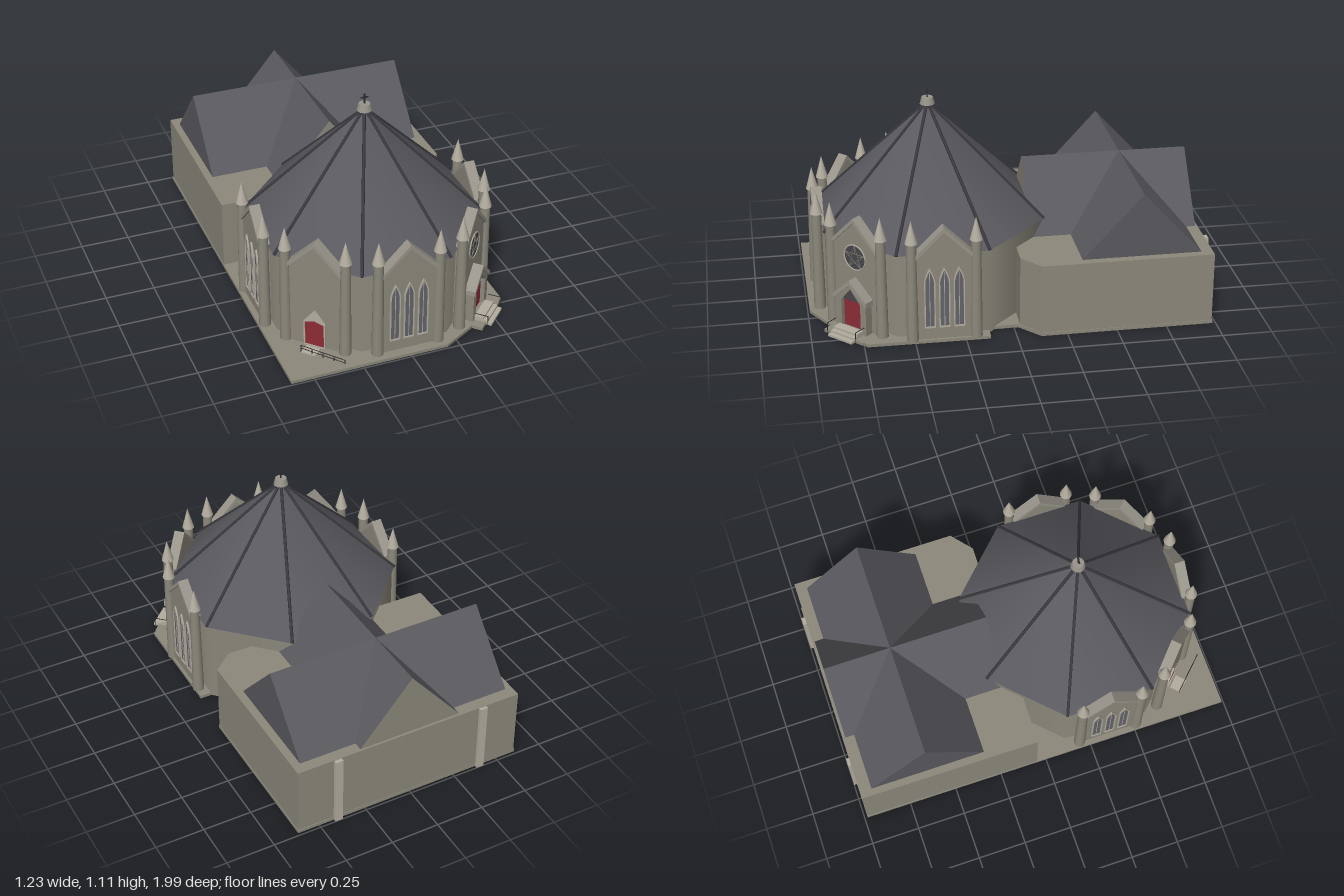
import * as THREE from 'three';

const mat = (name, color) => {
  const m = new THREE.MeshStandardMaterial({ color });
  m.name = name;
  return m;
};

export function createModel() {
  const stone = mat('stone', 0x8c887b);
  const paleStone = mat('pale stone', 0xb3ad9f);
  const coping = mat('coping stone', 0x98948a);
  const slate = mat('slate', 0x5a595f);
  const rib = mat('rib lead', 0x3a393f);
  const glass = mat('glass', 0x63636c);
  const darkGlass = mat('dark glass', 0x46464b);
  const red = mat('door red', 0x8c2c36);
  const iron = mat('iron', 0x2b2b2d);

  const model = new THREE.Group();
  model.name = 'chapel';

  const add = (parent, name, geo, material, x = 0, y = 0, z = 0) => {
    const m = new THREE.Mesh(geo, material);
    m.name = name;
    m.position.set(x, y, z);
    parent.add(m);
    return m;
  };
  const box = (parent, name, material, w, h, d, x, y, z) =>
    add(parent, name, new THREE.BoxGeometry(w, h, d), material, x, y, z);
  const poly = (pts) => new THREE.Shape(pts.map(([x, y]) => new THREE.Vector2(x, y)));
  const extrude = (shape, depth) =>
    new THREE.ExtrudeGeometry(shape, { depth, bevelEnabled: false, curveSegments: 6 });
  // Plan outline given as [x, z], raised from y0 by h
  const slab = (parent, name, material, pts, h) =>
    add(parent, name, extrude(poly(pts.map(([x, z]) => [x, -z])), h).rotateX(-Math.PI / 2), material);
  // Round bar between two points
  const bar = (parent, name, material, a, b, r, sides = 6) => {
    const p = new THREE.Vector3(...a), q = new THREE.Vector3(...b);
    const d = q.clone().sub(p);
    const m = add(parent, name, new THREE.CylinderGeometry(r, r, d.length(), sides), material);
    m.position.copy(p).add(q).multiplyScalar(0.5);
    m.quaternion.setFromUnitVectors(new THREE.Vector3(0, 1, 0), d.normalize());
    return m;
  };
  // Pentagon with a pointed top
  const house = (w, y0, eave, peak) => poly([[-w, y0], [w, y0], [w, eave], [0, peak], [-w, eave]]);
  // Inverted V band
  const chevron = (w, eave, peak, t) =>
    poly([[-w, eave], [-w, eave - t], [0, peak - t], [w, eave - t], [w, eave], [0, peak]]);
  const lancet = (w, y0, spring, peak) => {
    const s = new THREE.Shape();
    s.moveTo(-w, y0);
    s.lineTo(w, y0);
    s.lineTo(w, spring);
    s.quadraticCurveTo(w * 0.8, (spring + peak) / 2, 0, peak);
    s.quadraticCurveTo(-w * 0.8, (spring + peak) / 2, -w, spring);
    return s;
  };

  // Ground plinth
  slab(model, 'plinth', stone, [
    [-0.615, 0.99], [0.19, 0.99], [0.35, 0.9], [0.595, 0.735], [0.6, 0.13], [0.505, 0.13],
    [0.505, -0.02], [0.615, -0.12], [0.615, -0.985], [-0.61, -0.985]], 0.016);

  // Rear block with one chamfered corner
  slab(model, 'rear block', stone, [
    [-0.61, -0.05], [0.505, -0.03], [0.612, -0.12], [0.612, -0.98], [-0.605, -0.985]], 0.378);
  for (const s of [-1, 1]) box(model, 'rear pilaster', paleStone, 0.04, 0.376, 0.02, s * 0.4, 0.188, -0.99);

  // Crossed gable roofs
  const roofY = 0.376, ridge = 0.705;
  add(model, 'rear roof', extrude(poly([[0.325, roofY], [0.925, roofY], [0.625, ridge]]), 1.14)
    .rotateY(Math.PI / 2), slate, -0.57);
  add(model, 'rear cross roof', extrude(poly([[-0.275, roofY], [0.275, roofY], [0, ridge]]), 0.85),
    [stone, slate], 0, 0, -0.97);

  // Octagonal hall
  const hall = new THREE.Group();
  hall.name = 'hall';
  hall.position.z = 0.355;
  model.add(hall);
  const corner = 1 / Math.cos(Math.PI / 8);
  add(hall, 'hall wall', new THREE.CylinderGeometry(0.54 * corner, 0.54 * corner, 0.455, 8, 1, true)
    .rotateY(Math.PI / 8), stone, 0, 0.2275);
  add(hall, 'hall roof', new THREE.ConeGeometry(0.552 * corner, 0.575, 8).rotateY(Math.PI / 8),
    slate, 0, 0.7425);
  for (let i = 0; i < 8; i++) {
    const a = (i + 0.5) * Math.PI / 4, r = 0.552 * corner;
    bar(hall, 'roof rib', rib, [Math.sin(a) * r, 0.457, Math.cos(a) * r], [0, 1.03, 0], 0.008);
  }
  // Finial and cross
  add(hall, 'finial', new THREE.CylinderGeometry(0.029, 0.038, 0.035, 12), coping, 0, 1.038);
  box(hall, 'cross upright', iron, 0.006, 0.055, 0.006, 0, 1.08, 0);
  box(hall, 'cross arm', iron, 0.038, 0.006, 0.006, 0, 1.088, 0);

  // Three lancet windows
  const face = 0.585;
  const lancets = (bay) => {
    for (const x of [-0.072, 0, 0.072]) {
      const frame = lancet(0.027, 0.078, 0.325, 0.4);
      frame.holes.push(lancet(0.021, 0.085, 0.323, 0.385));
      add(bay, 'window frame', extrude(frame, 0.008), paleStone, x, 0, face);
      add(bay, 'window glass', extrude(lancet(0.022, 0.084, 0.324, 0.387), 0.003), glass, x, 0, face);
      box(bay, 'window mullion', paleStone, 0.003, 0.29, 0.003, x, 0.23, face + 0.004);
    }
  };

  // Main entrance: rose window, gabled porch, steps and rails
  const entrance = (bay) => {
    add(bay, 'rose glass', new THREE.CircleGeometry(0.065, 28), darkGlass, 0, 0.4, face + 0.002);
    add(bay, 'rose rim', new THREE.TorusGeometry(0.066, 0.004, 6, 28), paleStone, 0, 0.4, face + 0.002);
    const pt = (k, r) => [Math.sin(k * Math.PI / 5) * r, 0.4 + Math.cos(k * Math.PI / 5) * r, face + 0.003];
    for (let k = 0; k < 10; k += 2) {
      bar(bay, 'rose tracery', stone, pt(k, 0.065), pt(k + 4, 0.065), 0.0015, 4);
      bar(bay, 'rose spoke', stone, pt(k, 0.025), pt(k, 0.065), 0.0015, 4);
    }
    const porch = house(0.095, 0.016, 0.195, 0.275);
    porch.holes.push(house(0.06, 0.03, 0.175, 0.245));
    add(bay, 'porch', extrude(porch, 0.055), stone, 0, 0, 0.575);
    add(bay, 'porch coping', extrude(chevron(0.105, 0.2, 0.295, 0.026), 0.065), coping, 0, 0, 0.575);
    box(bay, 'door', red, 0.12, 0.14, 0.006, 0, 0.1, 0.605);
    add(bay, 'door fanlight', extrude(poly([[-0.06, 0.17], [0.06, 0.17], [0.06, 0.178], [0, 0.246], [-0.06, 0.178]]), 0.006),
      darkGlass, 0, 0, 0.602);
    box(bay, 'landing', stone, 0.25, 0.016, 0.11, 0, 0.008, 0.635);
    for (let i = 0; i < 3; i++)
      box(bay, 'step', paleStone, 0.15, 0.012, 0.09 - i * 0.022, 0, 0.01 + i * 0.012, 0.675 - i * 0.011);
    for (const s of [-1, 1]) {
      const x = s * 0.09;
      bar(bay, 'rail post', iron, [x, 0.01, 0.705], [x, 0.066, 0.705], 0.002);
      bar(bay, 'handrail', iron, [x, 0.066, 0.64], [x, 0.066, 0.705], 0.002);
    }
  };

  // Side entrance with ramp rails
  const sideDoor = (bay) => {
    const frame = house(0.056, 0.016, 0.155, 0.225);
    frame.holes.push(house(0.05, 0.02, 0.15, 0.165));
    add(bay, 'side door surround', extrude(frame, 0.009), paleStone, 0, 0, face);
    add(bay, 'side door', extrude(house(0.051, 0.018, 0.151, 0.167), 0.004), red, 0, 0, face);
    box(bay, 'side landing', paleStone, 0.075, 0.008, 0.06, 0, 0.018, 0.635);
    for (const h of [0.026, 0.042])
      bar(bay, 'ramp rail', iron, [-0.04, h + 0.014, 0.66], [0.19, h - 0.004, 0.66], 0.0018);
    for (let i = 0; i < 5; i++) {
      const x = -0.04 + i * 0.0575;
      bar(bay, 'ramp post', iron, [x, 0.014, 0.66], [x, 0.056 - i * 0.0045, 0.66], 0.0018);
    }
  };

  // Five gabled bays, each between two spired piers
  const bays = [['front bay', 0, lancets], ['left bay', 2, lancets], ['right bay', -2, lancets],
    ['entrance bay', 1, entrance], ['side door bay', -1, sideDoor]];
  for (const [name, turn, dress] of bays) {
    const bay = new THREE.Group();
    bay.name = name;
    bay.rotation.y = turn * Math.PI / 4;
    hall.add(bay);
    add(bay, 'gable wall', extrude(house(0.145, 0.012, 0.45, 0.595), 0.043), stone, 0, 0, face - 0.043);
    add(bay, 'gable coping', extrude(chevron(0.142, 0.468, 0.61, 0.024), 0.055), coping, 0, 0, 0.541);
    for (const s of [-1, 1]) {
      add(bay, 'pier', new THREE.CylinderGeometry(0.0245, 0.03, 0.523, 12), stone, s * 0.157, 0.2735, 0.58);
      add(bay, 'pier spire', new THREE.ConeGeometry(0.032, 0.118, 12), paleStone, s * 0.157, 0.593, 0.58);
    }
    dress(bay);
  }
  return model;
}
